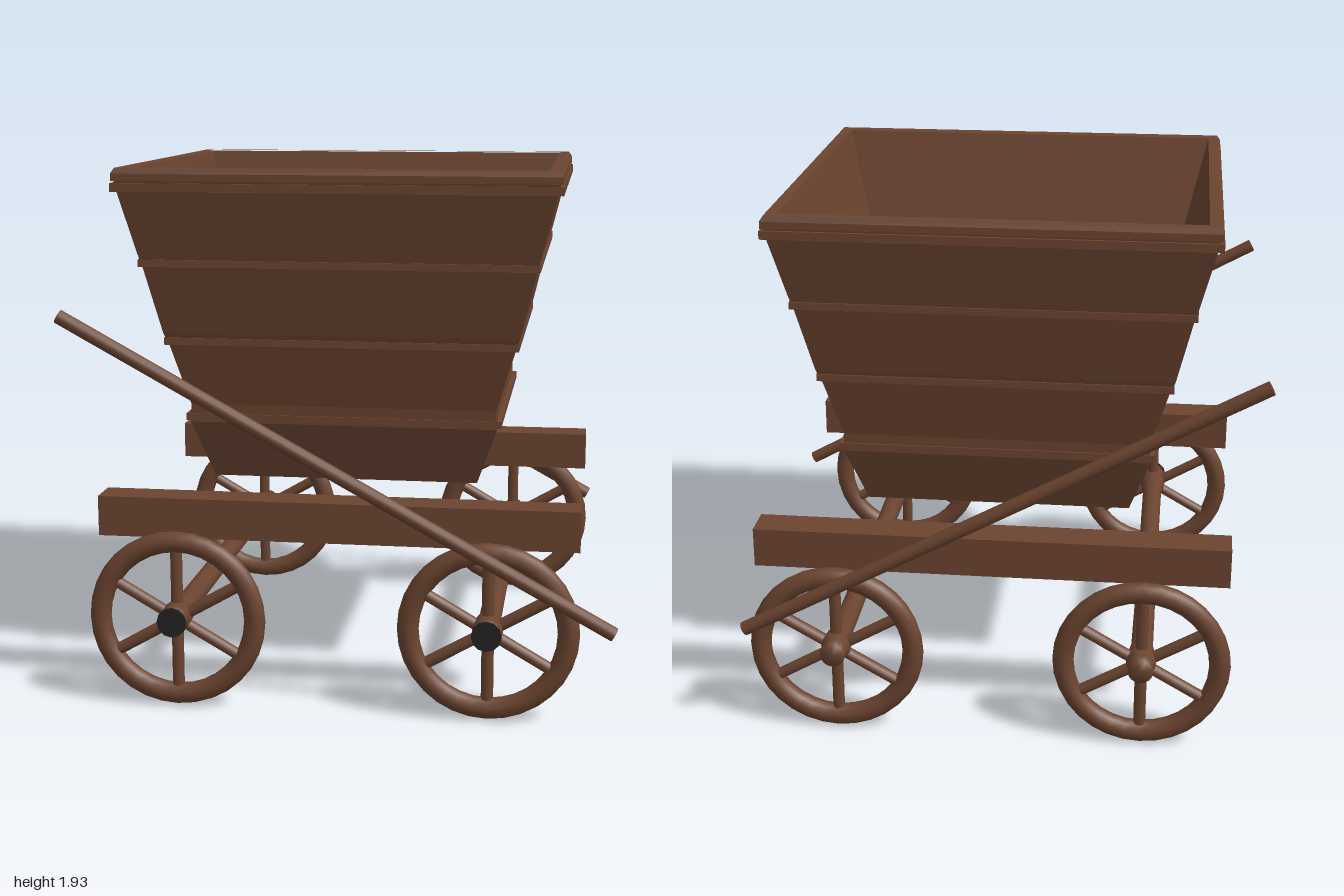
import * as THREE from 'three';

const wood = new THREE.MeshStandardMaterial({ color: 0x6b4430 });
wood.name = 'brownWood';
const dark = new THREE.MeshStandardMaterial({ color: 0x242424 });
dark.name = 'blackIron';

function add(parent, name, geometry, material, x = 0, y = 0, z = 0) {
  const mesh = new THREE.Mesh(geometry, material);
  mesh.name = name;
  mesh.position.set(x, y, z);
  parent.add(mesh);
  return mesh;
}

// Four-sided shell swept through rectangular rings [halfX, halfZ, y]
function rectShell(rings) {
  const pos = [];
  const corner = ([hx, hz, y], k) => {
    const [sx, sz] = [[-1, 1], [1, 1], [1, -1], [-1, -1]][k % 4];
    return [sx * hx, y, sz * hz];
  };
  for (let i = 0; i < rings.length - 1; i++) {
    for (let k = 0; k < 4; k++) {
      const a = corner(rings[i], k), b = corner(rings[i], k + 1);
      const c = corner(rings[i + 1], k + 1), d = corner(rings[i + 1], k);
      pos.push(...a, ...b, ...c, ...a, ...c, ...d);
    }
  }
  const g = new THREE.BufferGeometry();
  g.setAttribute('position', new THREE.Float32BufferAttribute(pos, 3));
  g.computeVertexNormals();
  return g;
}

// Round pole between two points, with rounded ends
function pole(parent, name, from, to, radius) {
  const a = new THREE.Vector3(...from), b = new THREE.Vector3(...to);
  const dir = b.clone().sub(a);
  const mesh = add(parent, name, new THREE.CylinderGeometry(radius, radius, dir.length(), 12), wood);
  mesh.position.copy(a).add(b).multiplyScalar(0.5);
  mesh.quaternion.setFromUnitVectors(new THREE.Vector3(0, 1, 0), dir.normalize());
}

function makeWheel(x, z) {
  const wheel = new THREE.Group();
  wheel.name = 'wheel';
  wheel.position.set(x, 0.325, z);
  add(wheel, 'rim', new THREE.TorusGeometry(0.284, 0.039, 10, 32), wood);
  for (let i = 0; i < 3; i++) {
    const spoke = add(wheel, 'spokePair', new THREE.CylinderGeometry(0.022, 0.022, 0.56, 8), wood);
    spoke.rotation.z = i * Math.PI / 3;
  }
  return wheel;
}

export function createModel() {
  const cart = new THREE.Group();
  cart.name = 'cart';

  // Flared hopper: outside, over the lip, and down the inside
  const hopper = new THREE.Group();
  hopper.name = 'hopper';
  hopper.position.set(-0.02, 0, 0.005);
  cart.add(hopper);
  add(hopper, 'walls', rectShell([
    [0.49, 0.455, 0.775], [0.565, 0.525, 0.99], [0.562, 0.528, 1.06],
    [0.625, 0.578, 1.28], [0.645, 0.593, 1.33], [0.70, 0.646, 1.57],
    [0.715, 0.658, 1.62], [0.772, 0.712, 1.85], [0.782, 0.722, 1.9],
    [0.775, 0.718, 1.925], [0.74, 0.685, 1.925], [0.465, 0.425, 0.79],
  ]), wood);

  // Bands around the hopper
  for (const [y, hx, hz, h] of [[1.01, 0.58, 0.532, 0.026], [1.3, 0.642, 0.594, 0.026],
    [1.59, 0.715, 0.66, 0.026], [1.862, 0.792, 0.729, 0.03]]) {
    add(hopper, 'band', rectShell([
      [hx - 0.03, hz - 0.03, y - h / 2], [hx, hz, y - h / 2],
      [hx, hz, y + h / 2], [hx - 0.03, hz - 0.03, y + h / 2],
    ]), wood);
  }
  add(hopper, 'lip', rectShell([
    [0.762, 0.7, 1.885], [0.788, 0.727, 1.885], [0.788, 0.727, 1.91],
    [0.775, 0.718, 1.93], [0.74, 0.685, 1.93],
  ]), wood);
  add(hopper, 'floor', new THREE.BoxGeometry(0.96, 0.018, 0.89), dark, 0, 0.783, 0);

  // Side beams
  for (const z of [0.66, -0.65]) {
    add(cart, 'sideBeam', new THREE.BoxGeometry(1.745, 0.147, 0.132), wood, -0.017, 0.672, z);
  }

  // Axles with flared hubs, wheels and front hub caps
  const axleProfile = [[0, -0.89], [0.045, -0.89], [0.045, -0.85], [0.055, -0.82], [0.052, -0.78],
    [0.04, -0.7], [0.038, 0], [0.04, 0.7], [0.052, 0.78], [0.055, 0.82], [0.05, 0.86], [0.05, 0.895], [0, 0.895]];
  for (const x of [-0.58, 0.54]) {
    const axle = add(cart, 'axle', new THREE.LatheGeometry(
      axleProfile.map(([r, y]) => new THREE.Vector2(r, y)), 16), wood, x, 0.335, 0);
    axle.rotation.x = Math.PI / 2;
    const cap = add(cart, 'hubCap', new THREE.CylinderGeometry(0.054, 0.054, 0.009, 12), dark, x, 0.335, 0.899);
    cap.rotation.x = Math.PI / 2;
    cart.add(makeWheel(x, 0.812), makeWheel(x, -0.803));
  }

  // Slanted side poles
  pole(cart, 'frontPole', [-0.965, 1.425, 0.882], [0.98, 0.355, 0.876], 0.026);
  pole(cart, 'backPole', [-0.985, 1.435, -0.885], [0.865, 0.42, -0.875], 0.026);

  return cart;
}
